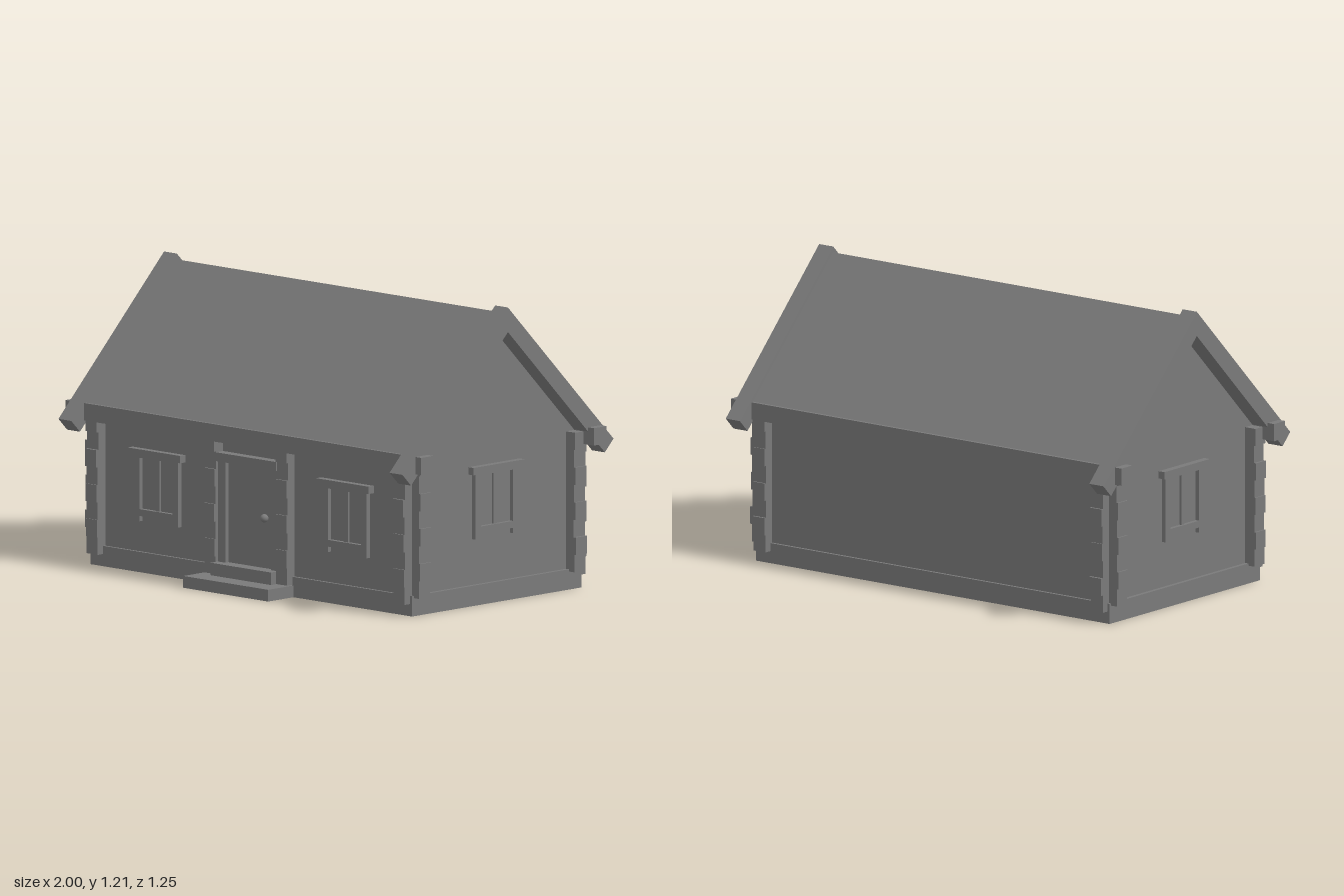
import * as THREE from 'three';

const ZC = -0.013; // ridge line, the middle of the house in z
const material = new THREE.MeshStandardMaterial({ color: 0x7a7a7a, flatShading: true });
const smooth = new THREE.MeshStandardMaterial({ color: 0x7a7a7a });
const openMaterial = new THREE.MeshStandardMaterial({ color: 0x7a7a7a, flatShading: true, side: THREE.DoubleSide });

// Box given by its minimum and maximum corners
function box(parent, name, [x0, y0, z0], [x1, y1, z1]) {
  const mesh = new THREE.Mesh(new THREE.BoxGeometry(x1 - x0, y1 - y0, z1 - z0), material);
  mesh.position.set((x0 + x1) / 2, (y0 + y1) / 2, (z0 + z1) / 2);
  mesh.name = name;
  parent.add(mesh);
  return mesh;
}

// Gable outline in (z, y), extruded along x from x0 to x1
function gablePrism(parent, name, points, x0, x1) {
  const shape = new THREE.Shape(points.map(([z, y]) => new THREE.Vector2(-z, y)));
  const geometry = new THREE.ExtrudeGeometry(shape, { depth: x1 - x0, bevelEnabled: false });
  geometry.rotateY(Math.PI / 2);
  const mesh = new THREE.Mesh(geometry, material);
  mesh.position.set(x0, 0, ZC);
  mesh.name = name;
  parent.add(mesh);
}

// 45 degree inverted V with square-cut ends
function chevron(ridge, thickness, reach) {
  const v = thickness * Math.SQRT2;
  const end = reach - v / 2;
  return [[0, ridge], [reach, ridge - reach], [end, ridge - v - end],
    [0, ridge - v], [-end, ridge - v - end], [-reach, ridge - reach]];
}

// Small repeatable variation for the hewn log ends
let seed = 7;
const vary = (amount) => {
  seed = (seed * 16807) % 2147483647;
  return (seed / 2147483647 - 0.5) * 2 * amount;
};

// Stack of log ends facing +z, alternately longer and shorter
function logStack(name, y0, y1, width, depth) {
  const group = new THREE.Group();
  group.name = name;
  const step = 0.0715;
  for (let i = 0; y0 + i * step < y1 - 0.01; i++) {
    const y = y0 + i * step;
    const end = depth + (i % 2 ? 0.004 : -0.004) + vary(0.003);
    box(group, 'logEnd', [-width / 2, y, -0.06], [width / 2, Math.min(y + step, y1), end]);
  }
  return group;
}

// Window on the z = 0 plane, facing +z, with its feet at y = 0
function makeWindow(name) {
  const group = new THREE.Group();
  group.name = name;
  for (const s of [-1, 1]) {
    const jamb = box(group, 'windowJamb', [-0.0165, 0, -0.02], [0.0165, 0.267, 0.018]);
    jamb.position.x = s * 0.109;
  }
  box(group, 'windowHeader', [-0.148, 0.267, -0.02], [0.148, 0.297, 0.03]);
  box(group, 'windowLintel', [-0.093, 0.26, -0.02], [0.093, 0.268, 0.018]);
  box(group, 'windowSill', [-0.093, 0.022, -0.02], [0.093, 0.05, 0.018]);
  box(group, 'windowMullion', [-0.011, 0.05, -0.02], [0.011, 0.262, 0.008]);
  return group;
}

export function createModel() {
  const house = new THREE.Group();
  house.name = 'logCabin';

  // Foundation and walls
  const wallX = 0.888, wallZ = 0.478;
  box(house, 'foundation', [-0.905, 0, ZC - 0.49], [0.905, 0.083, ZC + 0.49]);
  gablePrism(house, 'walls', [[wallZ, 0.08], [wallZ, 0.632], [0, 1.11], [-wallZ, 0.632], [-wallZ, 0.08]], -wallX, wallX);

  // Roof, gable boards and eave beams
  gablePrism(house, 'roof', chevron(1.187, 0.054, 0.525), -0.9, 0.9);
  for (const s of [-1, 1]) {
    const x = s * 0.931;
    gablePrism(house, 'gableBoard', chevron(1.211, 0.071, 0.61), x - 0.036, x + 0.036);
    const z = ZC + s * 0.499;
    box(house, 'eaveBeam', [-1, 0.594, z - 0.036], [1, 0.665, z + 0.036]);
  }

  // Interlocking log ends at the four corners
  for (const sx of [-1, 1]) {
    for (const sz of [-1, 1]) {
      const long = logStack('sideWallLogEnds', 0.05, 0.6, 0.062, 0.047);
      long.position.set(sx * 0.863, 0, ZC + sz * wallZ);
      long.rotation.y = sz > 0 ? 0 : Math.PI;
      const cross = logStack('longWallLogEnds', 0.074, 0.645, 0.064, 0.05);
      cross.position.set(sx * wallX, 0, ZC + sz * 0.448);
      cross.rotation.y = sx * Math.PI / 2;
      house.add(long, cross);
    }
  }

  // Windows: two in the front, one in each gable
  const front = ZC + wallZ;
  for (const s of [-1, 1]) {
    const frontWindow = makeWindow('frontWindow');
    frontWindow.position.set(s * 0.53, 0.209, front);
    const gableWindow = makeWindow('gableWindow');
    gableWindow.position.set(s * wallX, 0.27, ZC);
    gableWindow.rotation.y = s * Math.PI / 2;
    house.add(frontWindow, gableWindow);
  }

  // Doorway with log ends on both sides
  const doorway = new THREE.Group();
  doorway.name = 'doorway';
  house.add(doorway);
  for (const s of [-1, 1]) {
    const logs = logStack('doorLogEnds', 0.05, 0.6, 0.062, 0.045);
    logs.position.set(s * 0.202, 0, front);
    doorway.add(logs);
    const jamb = box(doorway, 'doorJamb', [-0.021, 0.09, front - 0.02], [0.021, 0.512, front + 0.03]);
    jamb.position.x = s * 0.149;
  }
  box(doorway, 'doorHeader', [-0.17, 0.512, front - 0.02], [0.17, 0.548, front + 0.042]);
  box(doorway, 'door', [-0.128, 0.09, front - 0.02], [0.128, 0.512, front + 0.012]);
  const knob = new THREE.Mesh(new THREE.SphereGeometry(0.017, 20, 14), smooth);
  knob.name = 'doorKnob';
  knob.position.set(0.088, 0.307, front + 0.027);
  doorway.add(knob);

  // Threshold, and a lower step that is hollow underneath
  box(house, 'threshold', [-0.17, 0.049, front - 0.02], [0.17, 0.1, 0.537]);
  const step = box(house, 'frontStep', [-0.24, 0, front], [0.238, 0.048, 0.623]);
  const faces = Array.from(step.geometry.index.array);
  faces.splice(18, 6); // open bottom
  step.geometry.setIndex(faces);
  step.geometry.clearGroups();
  step.material = openMaterial;

  return house;
}
